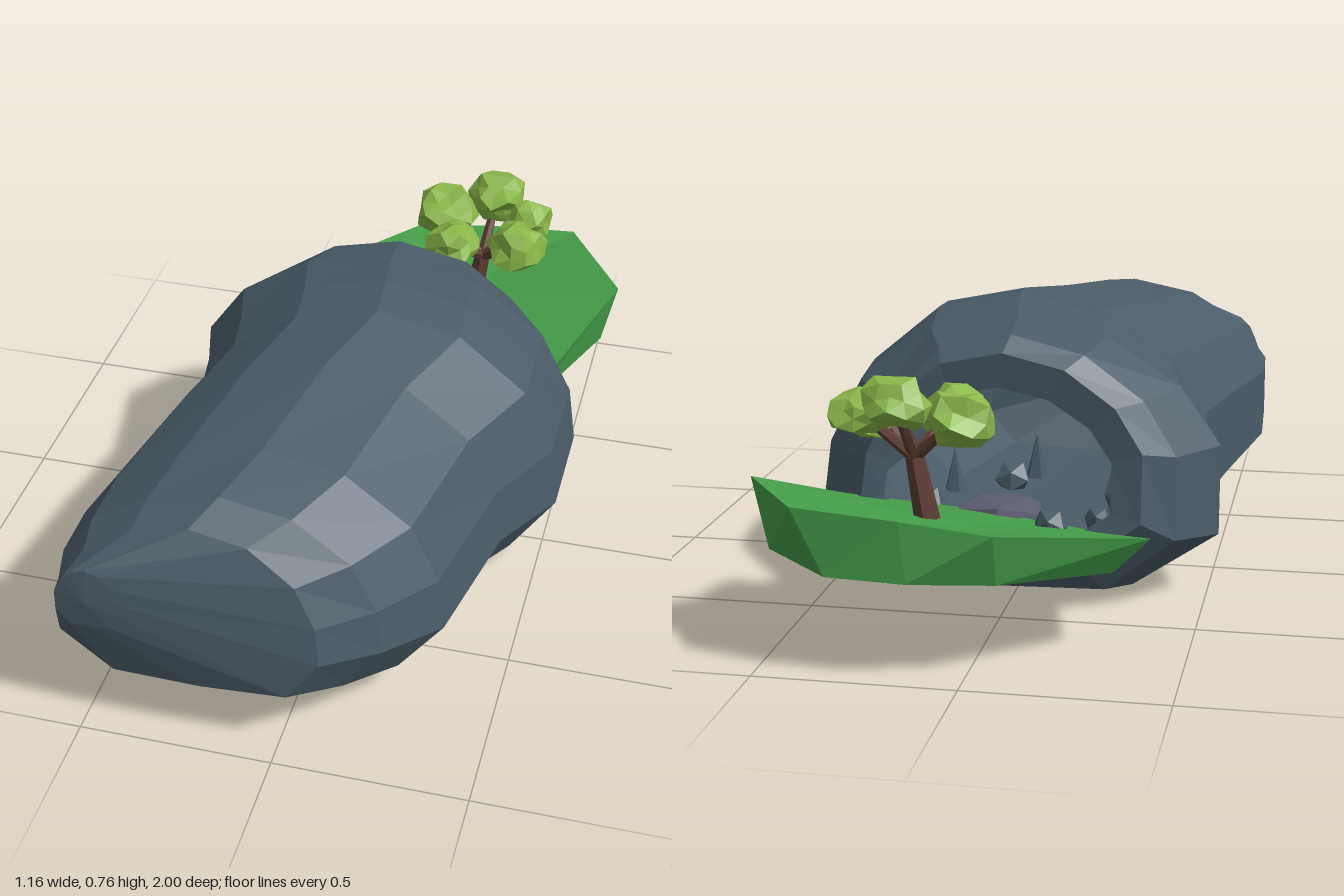
import * as THREE from 'three';

const paint = (color) => new THREE.MeshStandardMaterial({ color, flatShading: true, roughness: 1 });
const V = (x, y, z) => new THREE.Vector3(x, y, z);

// Skin a list of rings; each ring runs clockwise seen from the first ring's end
function loft(rings) {
  const pos = [];
  const tri = (a, b, c) => {
    if (b.clone().sub(a).cross(c.clone().sub(a)).length() > 1e-7) {
      for (const p of [a, b, c]) pos.push(p.x, p.y, p.z);
    }
  };
  for (let r = 0; r < rings.length - 1; r++) {
    const a = rings[r], b = rings[r + 1], n = a.length;
    for (let i = 0; i < n; i++) {
      const j = (i + 1) % n;
      tri(a[i], a[j], b[j]);
      tri(a[i], b[j], b[i]);
    }
  }
  const g = new THREE.BufferGeometry();
  g.setAttribute('position', new THREE.Float32BufferAttribute(pos, 3));
  g.computeVertexNormals();
  return g;
}

// Lumpy faceted ball; shared corners get the same offset
function lump(radius, detail, seed, rough) {
  const g = new THREE.IcosahedronGeometry(radius, detail);
  const p = g.attributes.position, v = V(0, 0, 0);
  for (let i = 0; i < p.count; i++) {
    v.fromBufferAttribute(p, i);
    const q = [v.x, v.y, v.z].map((c) => Math.round(c / radius * 100));
    const h = Math.sin(q[0] * 0.71 + q[1] * 1.37 + q[2] * 2.11 + seed * 5.3);
    v.multiplyScalar(1 + rough * h);
    p.setXYZ(i, v.x, v.y, v.z);
  }
  g.computeVertexNormals();
  return g;
}

// Tapered limb between two points
function limb(a, b, r0, r1, material) {
  const d = b.clone().sub(a);
  const m = new THREE.Mesh(new THREE.CylinderGeometry(r1, r0, d.length(), 6), material);
  m.position.copy(a).add(b).multiplyScalar(0.5);
  m.quaternion.setFromUnitVectors(V(0, 1, 0), d.normalize());
  return m;
}

export function createModel() {
  const model = new THREE.Group();
  const rock = paint(0x4a5c68), grass = paint(0x46a04a), leaf = paint(0x8ab84a);
  const bark = paint(0x5e3d33), slate = paint(0x5c5c70);
  const add = (parent, name, geo, mat, x = 0, y = 0, z = 0) => {
    const m = new THREE.Mesh(geo, mat);
    m.name = name;
    m.position.set(x, y, z);
    parent.add(m);
    return m;
  };

  // Cave: domed section, swept from the snout to the mouth and back inside
  const dome = [
    [0.5, 1], [0.72, 0.94], [0.9, 0.74], [0.98, 0.5], [1, 0.27], [0.88, 0.03],
    [0.55, 0], [0.21, 0.01], [0, 0.22], [0, 0.55], [0.1, 0.76], [0.28, 0.93],
  ];
  // z at the top, x min, x max, y min, y max, how far the foot leans back
  const sections = [
    [1.0, -0.45, -0.45, 0.43, 0.43, 0],
    [0.985, -0.53, -0.37, 0.35, 0.52, -0.01],
    [0.88, -0.55, 0.11, 0.18, 0.61, -0.08],
    [0.8, -0.575, 0.24, 0.13, 0.655, -0.04],
    [0.63, -0.58, 0.36, 0.08, 0.68, -0.06],
    [0.3, -0.51, 0.43, 0.05, 0.72, 0],
    [0.08, -0.46, 0.54, 0.005, 0.75, 0],
    [-0.05, -0.48, 0.54, 0, 0.76, 0],
    [-0.21, -0.53, 0.54, 0.01, 0.73, 0.02],
    [-0.34, -0.43, 0.43, 0.04, 0.705, 0.03],
    [-0.385, -0.35, 0.38, 0.13, 0.665, 0.07],
    [-0.38, -0.27, 0.32, 0.18, 0.575, 0.06],
    [-0.2, -0.35, 0.38, 0.15, 0.63, 0],
    [0.2, -0.36, 0.36, 0.14, 0.61, 0],
    [0.55, -0.42, 0.24, 0.17, 0.56, 0],
    [0.68, -0.12, -0.12, 0.36, 0.36, 0],
  ];
  const rings = sections.map(([z, x0, x1, y0, y1, lean]) => dome.map(([u, v]) =>
    V(x0 + (x1 - x0) * u, y0 + (y1 - y0) * v, z - lean * (1 - v))));
  add(model, 'caveShell', loft(rings), rock);

  // Rocks and spikes on the cave floor and ceiling
  const cave = new THREE.Group();
  cave.name = 'caveRocks';
  model.add(cave);
  [[-0.22, 0.21, -0.3, 0.04], [0.26, 0.2, -0.2, 0.05], [-0.25, 0.2, 0, 0.06], [0.1, 0.17, 0.2, 0.05]]
    .forEach(([x, y, z, r], i) => add(cave, 'floorRock', lump(r, 0, i, 0.2), rock, x, y, z));
  [[-0.27, 0.12, 1], [0.25, 0.1, 1], [0.05, 0.3, 1], [-0.12, 0.02, -1], [0.18, 0.2, -1]]
    .forEach(([x, z, dir]) => {
      const spike = add(cave, 'rockSpike', new THREE.ConeGeometry(0.035, 0.14, 5), rock,
        x, dir > 0 ? 0.21 : 0.53, z);
      if (dir < 0) spike.rotation.x = Math.PI;
    });
  const slab = add(cave, 'entranceSlab', lump(0.12, 0, 3, 0.15), slate, 0.02, 0.25, -0.34);
  slab.scale.set(1, 0.25, 0.85);

  // Grassy ledge: hollow centre, rim, underside rim, underside centre
  const rim = [
    [-0.08, 0.37, -0.98], [0.14, 0.395, -0.985], [0.40, 0.415, -0.98], [0.58, 0.405, -0.71],
    [0.43, 0.28, -0.40], [0.1, 0.24, -0.35], [-0.28, 0.21, -0.41], [-0.41, 0.30, -0.71],
  ].map((p) => V(...p));
  const under = [
    [-0.08, 0.24, -0.94], [0.12, 0.25, -1.0], [0.32, 0.25, -0.98], [0.54, 0.22, -0.71],
    [0.39, 0.19, -0.38], [0.1, 0.18, -0.35], [-0.24, 0.18, -0.41], [-0.32, 0.21, -0.71],
  ].map((p) => V(...p));
  const centre = V(0.02, 0.30, -0.68);
  const hollow = rim.map((p) => V(
    THREE.MathUtils.lerp(centre.x, p.x, 0.4),
    THREE.MathUtils.lerp(centre.y, p.y, 0.3),
    THREE.MathUtils.lerp(centre.z, p.z, 0.4)));
  const point = (p) => rim.map(() => p);
  add(model, 'grassLedge',
    loft([point(centre), hollow, rim, under, point(V(0.08, 0.2, -0.68))]), grass);
  add(model, 'ledgeRock', lump(0.045, 0, 7, 0.15), rock, -0.14, 0.27, -0.56);

  // Tree: leaning trunk, one branch and leaf clump per crown point
  const tree = new THREE.Group();
  tree.name = 'tree';
  model.add(tree);
  const base = V(0.14, 0.29, -0.68), fork = V(0.17, 0.47, -0.69);
  const trunk = limb(base, fork, 0.034, 0.024, bark);
  trunk.name = 'trunk';
  tree.add(trunk);
  const crown = [
    [0.05, 0.58, -0.735, 0.085], [0.19, 0.625, -0.79, 0.08], [0.29, 0.585, -0.74, 0.07],
    [0.28, 0.565, -0.62, 0.085], [0.10, 0.56, -0.59, 0.08],
  ];
  crown.forEach(([x, y, z, r], i) => {
    const branch = limb(fork, V(x, y, z), 0.018, 0.01, bark);
    branch.name = 'branch';
    tree.add(branch);
    const clump = add(tree, 'leafClump', lump(r, 1, i + 1, 0.2), leaf, x, y, z);
    clump.scale.y = 0.8;
  });
  return model;
}
